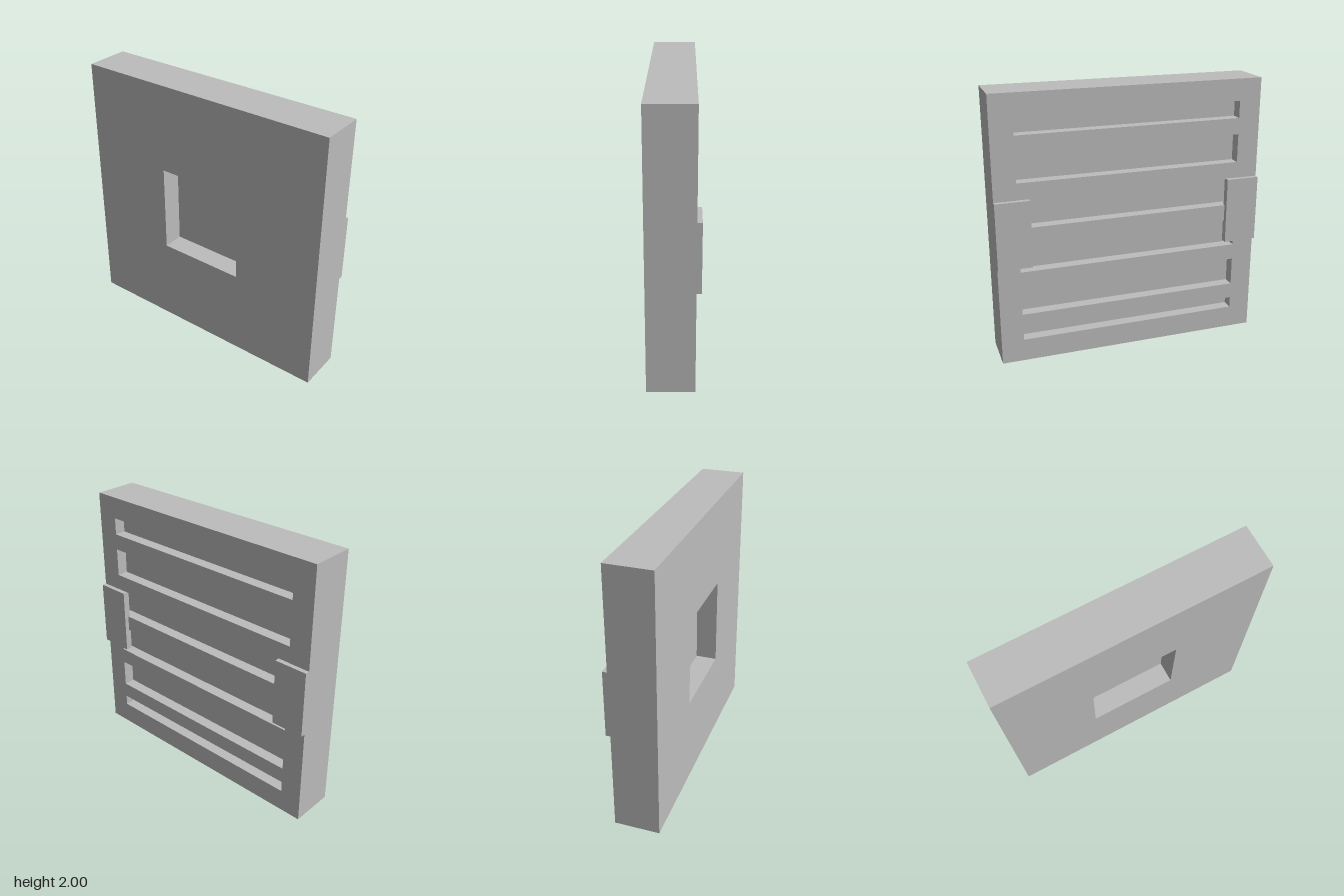
import * as THREE from 'three';

const grey = new THREE.MeshStandardMaterial({ color: 0xbcbcbc });
grey.name = 'plain grey';

// Rectangle outline, symmetric about the middle, from y0 to y1
function outline(PathClass, halfWidth, y0, y1) {
  return new PathClass([
    new THREE.Vector2(-halfWidth, y0),
    new THREE.Vector2(halfWidth, y0),
    new THREE.Vector2(halfWidth, y1),
    new THREE.Vector2(-halfWidth, y1),
  ]);
}

// Full-size layer of the slab between x0 and x1, with rectangular openings
function layer(name, x0, x1, openings) {
  const shape = outline(THREE.Shape, 1, 0, 2);
  for (const [halfWidth, y0, y1] of openings) {
    shape.holes.push(outline(THREE.Path, halfWidth, y0, y1));
  }
  const geometry = new THREE.ExtrudeGeometry(shape, { depth: x1 - x0, bevelEnabled: false });
  geometry.rotateY(Math.PI / 2).translate(x0, 0, 0);
  const mesh = new THREE.Mesh(geometry, grey);
  mesh.name = name;
  return mesh;
}

export function createModel() {
  const model = new THREE.Group();
  model.name = 'slottedPanel';

  // Slab: pocketed back, solid core, slotted face
  const slots = [
    [0.17, 0.253], [0.375, 0.588], [0.71, 0.92],
    [1.042, 1.253], [1.375, 1.588], [1.71, 1.837],
  ].map(([y0, y1]) => [0.836, y0, y1]);
  model.add(
    layer('backPlate', -0.184, -0.025, [[0.334, 0.666, 1.334]]),
    layer('core', -0.025, 0.065, []),
    layer('slottedFace', 0.065, 0.15, slots),
  );

  // Clips at both edges, set slightly into the slotted face
  for (const side of [1, -1]) {
    const clip = new THREE.Mesh(new THREE.BoxGeometry(0.05, 0.498, 0.25), grey);
    clip.name = side > 0 ? 'frontClip' : 'backClip';
    clip.position.set(0.159, 1.003, side * 0.875);
    model.add(clip);
  }
  return model;
}
